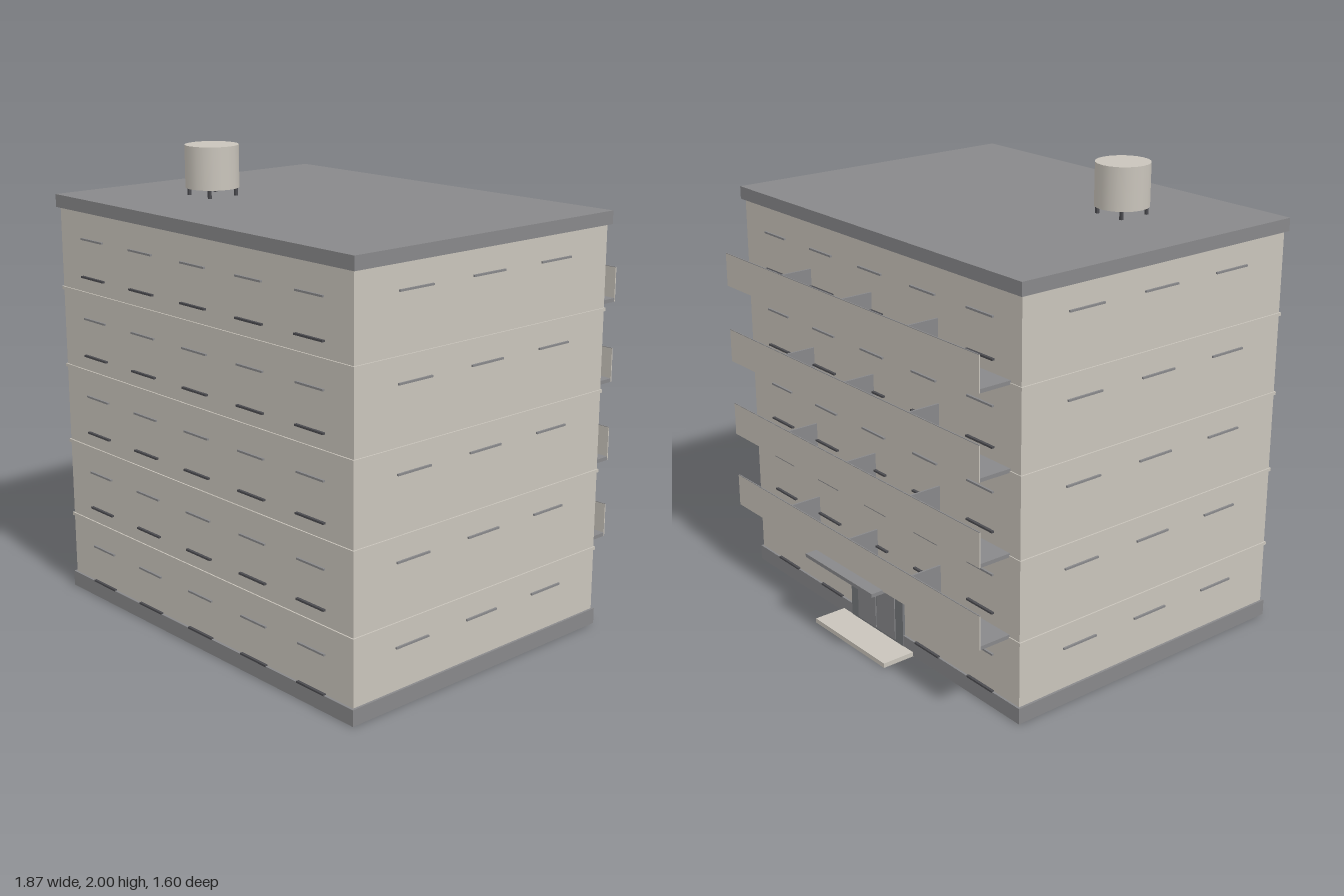
import * as THREE from 'three';

const material = (name, color) => {
  const m = new THREE.MeshStandardMaterial({ color });
  m.name = name;
  return m;
};

export function createModel() {
  const model = new THREE.Group();
  model.name = 'apartmentBlock';
  const wall = material('wallBeige', 0xc9c4bb);
  const grey = material('concreteGrey', 0x88888a);
  const dark = material('darkGrey', 0x4c4c50);
  const glass = material('doorGrey', 0x76787c);

  // Box given by its limits on each axis
  const box = (name, mat, x0, x1, y0, y1, z0, z1, parent = model) => {
    const mesh = new THREE.Mesh(new THREE.BoxGeometry(x1 - x0, y1 - y0, z1 - z0), mat);
    mesh.position.set((x0 + x1) / 2, (y0 + y1) / 2, (z0 + z1) / 2);
    mesh.name = name;
    parent.add(mesh);
    return mesh;
  };
  const group = (name) => {
    const g = new THREE.Group();
    g.name = name;
    model.add(g);
    return g;
  };

  const FLOORS = 5, STOREY = 0.345;
  const BACK = -0.597, FRONT = 0.787, SIDE = 0.92;

  // Main volume, plinth and roof slab
  box('walls', wall, -SIDE, SIDE, 0, 1.735, BACK, FRONT);
  box('plinth', grey, -0.93, 0.93, 0.002, 0.07, -0.606, 0.798);
  box('roofSlab', grey, -0.935, 0.935, 1.73, 1.785, -0.612, 0.8);

  // Thin storey bands around the walls
  const bands = group('storeyBands');
  for (let f = 1; f < FLOORS; f++) {
    const y = f * STOREY;
    box('storeyBand', wall, -SIDE - 0.006, SIDE + 0.006, y - 0.007, y + 0.007, BACK - 0.004, FRONT + 0.006, bands);
  }

  // Window ledges on every wall
  const ledges = group('windowLedges');
  for (let f = 0; f < FLOORS; f++) {
    const base = f * STOREY;
    for (let c = -2; c <= 2; c++) {
      const x = c * 0.344;
      for (const [z0, z1, isBack] of [[FRONT - 0.01, FRONT + 0.009, false], [BACK - 0.009, BACK + 0.01, true]]) {
        if (isBack && f === 0 && c === 0) continue; // entrance bay
        box('upperLedge', grey, x - 0.077, x + 0.077, base + 0.23, base + 0.238, z0, z1, ledges);
        box('lowerLedge', dark, x - 0.079, x + 0.079, base + 0.067, base + 0.075, z0 - (isBack ? 0.003 : 0), z1 + (isBack ? 0 : 0.003), ledges);
      }
    }
    for (const s of [-1, 1]) {
      for (const z of [0.483, 0.097, -0.287]) {
        const ledge = box('sideLedge', grey, -0.01, 0.01, base + 0.243, base + 0.251, z - 0.087, z + 0.087, ledges);
        ledge.position.x = s * (SIDE - 0.002);
      }
    }
  }

  // Rear balconies: slab, thin parapet and three dividing screens
  for (let f = 1; f < FLOORS; f++) {
    const y = f * STOREY;
    const balcony = group('balcony');
    box('balconySlab', grey, -0.86, 0.86, y, y + 0.016, -0.74, BACK, balcony);
    box('balconyParapet', wall, -0.86, 0.86, y, y + 0.145, -0.745, -0.74, balcony);
    box('parapetCap', grey, -0.86, 0.86, y + 0.145, y + 0.147, -0.745, -0.74, balcony);
    for (const x of [-0.43, 0, 0.43]) {
      box('balconyDivider', grey, x - 0.004, x + 0.004, y + 0.016, y + 0.145, -0.74, BACK, balcony);
    }
  }
  box('meterBox', wall, 0.434, 0.45, 0.37, 0.435, -0.727, -0.688);

  // Entrance: door, frame, canopy with lamp, and step
  const entrance = group('entrance');
  box('doorPanel', glass, -0.185, 0.185, 0.02, 0.335, -0.608, BACK, entrance);
  for (const s of [-1, 1]) {
    box('doorLeaf', grey, s * 0.068 - 0.064, s * 0.068 + 0.064, 0.03, 0.28, -0.612, -0.607, entrance);
  }
  box('canopy', grey, -0.24, 0.24, 0.334, 0.35, -0.8, BACK, entrance);
  box('canopyLamp', glass, -0.06, 0.06, 0.328, 0.335, -0.725, -0.675, entrance);
  box('entranceStep', wall, -0.25, 0.25, 0, 0.02, -0.755, -0.6, entrance);

  // Rooftop water tank on four legs
  const tank = group('waterTank');
  tank.position.set(-0.46, 0, 0.325);
  const drum = new THREE.Mesh(new THREE.CylinderGeometry(0.114, 0.114, 0.18, 20), wall);
  drum.position.y = 1.91;
  drum.name = 'tankDrum';
  tank.add(drum);
  for (const x of [-0.07, 0.07]) {
    for (const z of [-0.07, 0.07]) {
      box('tankLeg', dark, x - 0.006, x + 0.006, 1.78, 1.825, z - 0.006, z + 0.006, tank);
    }
  }
  return model;
}
